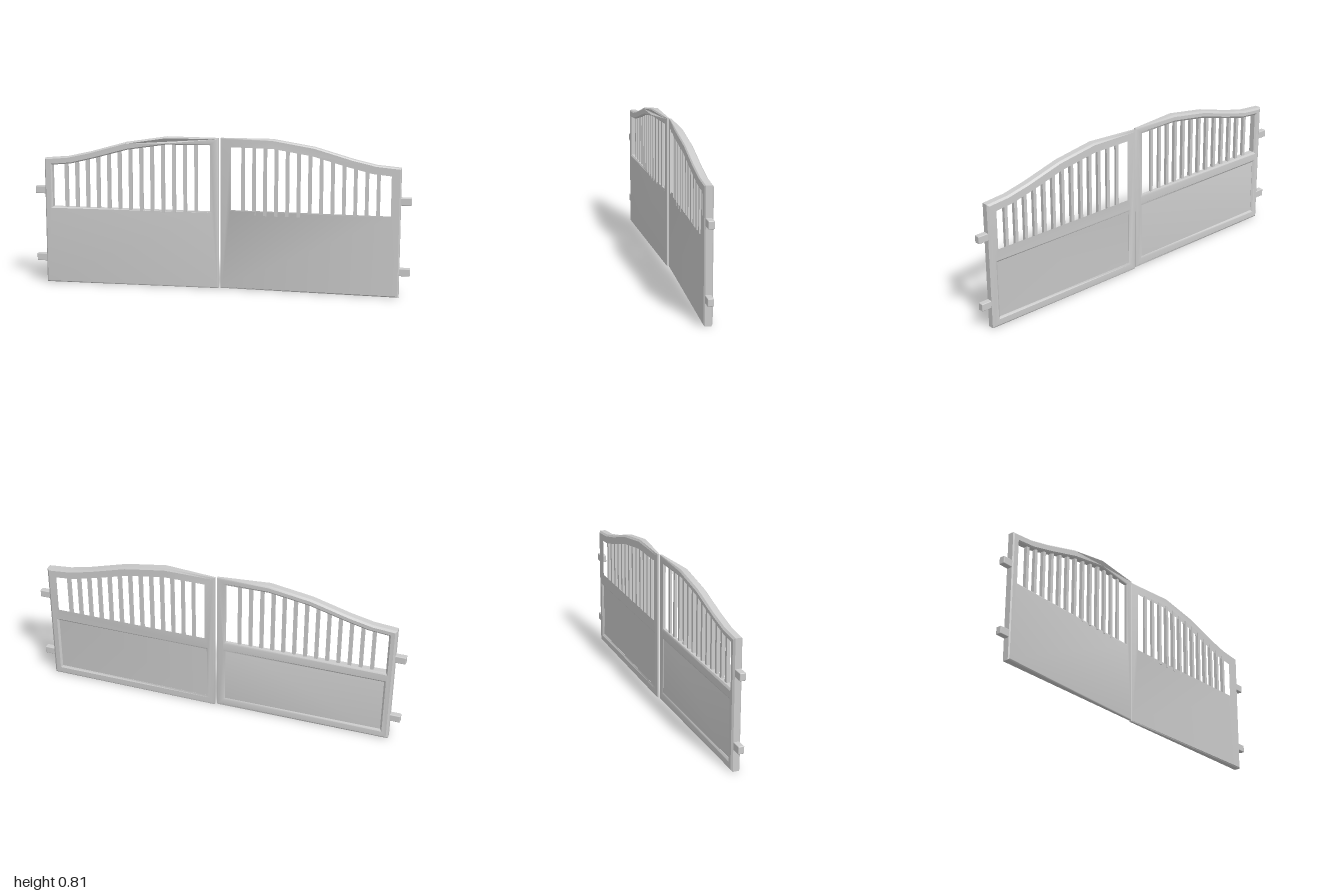
import * as THREE from 'three';
import { toCreasedNormals } from 'three/addons/utils/BufferGeometryUtils.js';
import { RoundedBoxGeometry } from 'three/addons/geometries/RoundedBoxGeometry.js';

const material = new THREE.MeshStandardMaterial({ color: 0xcccccc });
const BACK = -0.027;

// Outlines of one leaf, from the meeting edge (x = 0) out to the hinges
const arch = [[0.005, 0.803], [0.28, 0.805], [0.5, 0.77], [0.7, 0.713], [0.82, 0.686], [0.945, 0.675]];
const openingTop = [[0.05, 0.765], [0.28, 0.765], [0.49, 0.732], [0.67, 0.682], [0.8, 0.65], [0.905, 0.64]];
const outline = [[0.945, 0], [0.005, 0], ...arch];
const opening = [[0.905, 0.413], [0.05, 0.413], ...openingTop];
const recess = [[0.05, 0.05], [0.9, 0.05], [0.9, 0.355], [0.05, 0.355]];

// Height of the opening's upper edge at x
function openingHeight(x) {
  const i = openingTop.findIndex((p) => p[0] >= x);
  const [a, b] = [openingTop[i - 1], openingTop[i]];
  return THREE.MathUtils.mapLinear(x, a[0], b[0], a[1], b[1]);
}

// The leaf thins towards the meeting edge while its back stays straight
function thin(geometry) {
  const p = geometry.attributes.position;
  for (let i = 0; i < p.count; i++) {
    const k = THREE.MathUtils.lerp(0.33, 1, Math.min(1, Math.abs(p.getX(i)) / 0.28));
    p.setZ(i, BACK + (p.getZ(i) - BACK) * k);
  }
  return toCreasedNormals(geometry, 0.5);
}

// Bevelled plate between z0 and z1
function plate(side, holes, z0, z1, bevelSize, bevelThickness) {
  const points = (list) => list.map(([x, y]) => new THREE.Vector2(x * side, y));
  const shape = new THREE.Shape(points(outline));
  holes.forEach((h) => shape.holes.push(new THREE.Path(points(h))));
  const geometry = new THREE.ExtrudeGeometry(shape, {
    depth: z1 - z0 - 2 * bevelThickness,
    bevelSize, bevelThickness, bevelOffset: -bevelSize, bevelSegments: 1,
  });
  geometry.translate(0, 0, z0 + bevelThickness);
  return thin(geometry);
}

function createLeaf(side) {
  const leaf = new THREE.Group();
  leaf.name = side > 0 ? 'leftLeaf' : 'rightLeaf';
  const add = (name, geometry) => {
    const mesh = new THREE.Mesh(geometry, material);
    mesh.name = name;
    leaf.add(mesh);
  };

  // Plain front, and a back frame around the sunken lower panel
  add('frontPanel', plate(side, [opening], -0.017, 0.018, 0.006, 0.006));
  add('backFrame', plate(side, [opening, recess], BACK, 0, 0.01, 0.008));

  // Upright bars
  for (let i = 0; i < 13; i++) {
    const x = 0.124 + i * 0.0588;
    const bottom = 0.4, top = openingHeight(x) + 0.015;
    const bar = new THREE.BoxGeometry(0.018, top - bottom, 0.018);
    bar.translate(side * x, (top + bottom) / 2, -0.0045);
    add('bar', thin(bar));
  }

  // Hinge pins on the outer edge
  for (const y of [0.134, 0.503]) {
    const pin = new RoundedBoxGeometry(0.065, 0.04, 0.031, 2, 0.004);
    pin.translate(side * 0.9675, y, -0.0025);
    add('hingePin', pin);
  }
  return leaf;
}

export function createModel() {
  const gate = new THREE.Group();
  gate.name = 'doubleGate';
  const left = createLeaf(1);
  const right = createLeaf(-1);
  right.position.z = 0.009; // the leaves are slightly staggered
  gate.add(left, right);
  return gate;
}
